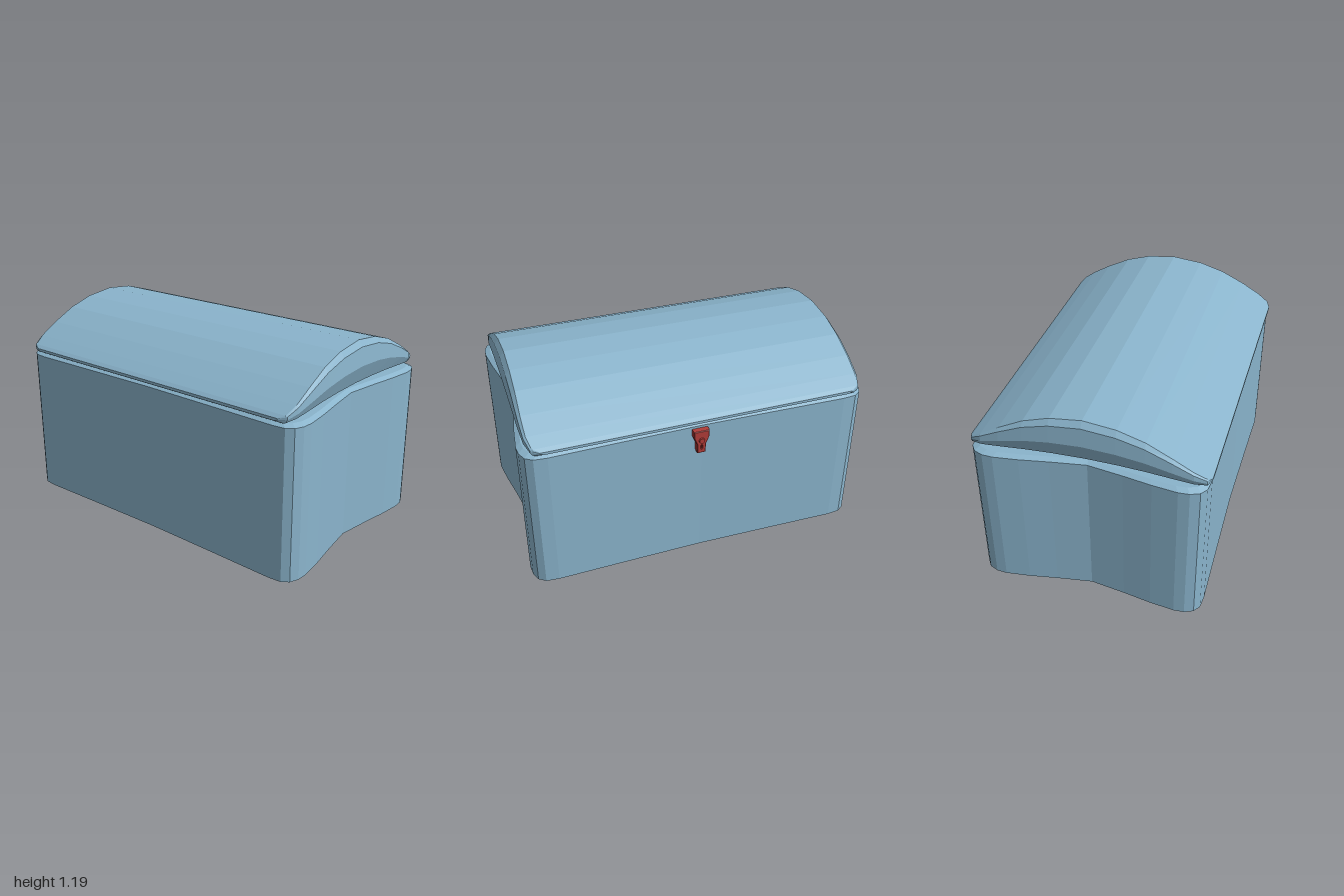
import * as THREE from 'three';

const blue = new THREE.MeshStandardMaterial({ color: 0x8ab4cc, flatShading: true });
const red = new THREE.MeshStandardMaterial({ color: 0xb03c38, flatShading: true });

// Closed solid skinned over equal-length loops of [x, y, z], capped at both ends
function loft(loops) {
  const n = loops[0].length;
  const pts = loops.flat();
  const faces = [];
  for (let r = 0; r < loops.length - 1; r++) {
    for (let i = 0; i < n; i++) {
      const j = (i + 1) % n;
      const a = r * n + i, b = r * n + j;
      faces.push([a, b, b + n], [a, b + n, a + n]);
    }
  }
  const cap = (r, flip) => {
    const centre = [0, 1, 2].map((k) => loops[r].reduce((s, p) => s + p[k], 0) / n);
    const c = pts.push(centre) - 1;
    for (let i = 0; i < n; i++) {
      const a = r * n + i, b = r * n + ((i + 1) % n);
      faces.push(flip ? [c, b, a] : [c, a, b]);
    }
  };
  cap(0, true);
  cap(loops.length - 1, false);

  // Turn every face outward if the loops run the other way
  const v = pts.map((p) => new THREE.Vector3(...p));
  const volume = faces.reduce((s, [a, b, c]) => s + v[a].dot(v[b].clone().cross(v[c])), 0);
  if (volume < 0) faces.forEach((f) => f.reverse());

  const g = new THREE.BufferGeometry();
  g.setAttribute('position', new THREE.Float32BufferAttribute(pts.flat(), 3));
  g.setIndex(faces.flat());
  const flat = g.toNonIndexed();
  flat.computeVertexNormals();
  return flat;
}

// Box: rounded corners, sides bowed gently inward, bevelled rims
function bodyGeometry() {
  const quarter = [[0.925, 0], [0.955, 0.2], [0.983, 0.36], [1, 0.5], [0.996, 0.56],
    [0.975, 0.61], [0.935, 0.638], [0.86, 0.645], [0.45, 0.637], [0, 0.63]];
  const half = [...quarter, ...quarter.slice(0, -1).reverse().map(([x, z]) => [-x, z])];
  const plan = [...half, ...half.slice(1, -1).reverse().map(([x, z]) => [x, -z])];
  const rims = [[0, 0.03], [0.016, 0], [0.89, 0], [0.905, 0.03]];
  return loft(rims.map(([y, inset]) =>
    plan.map(([x, z]) => [x * (1 - inset), y, z * (1 - inset * 1.2) + 0.01])));
}

// Domed lid: cross-sections from front to back, with bulging ends undercut below
function lidGeometry() {
  // z, bottom y, top y, half width
  const front = [[0.665, 0.922, 0.938, 0.9], [0.645, 0.911, 0.955, 0.945], [0.58, 0.911, 0.995, 0.967],
    [0.47, 0.911, 1.057, 0.975], [0.33, 0.911, 1.125, 0.978], [0.18, 0.911, 1.17, 0.98]];
  const stations = [...front, [0, 0.911, 1.19, 0.98],
    ...front.slice().reverse().map(([z, ...rest]) => [-z * 0.97, ...rest])];
  return loft(stations.map(([z, low, top, w]) => {
    const q = Math.max(0, 1 - (z / 0.66) ** 2);
    const edge = low + 0.006 + 0.028 * q;
    const at = (f) => edge + (top - edge) * f;
    const side = [
      [w - 0.02 - 0.085 * q, low],
      [w - 0.005 - 0.035 * q, edge],
      [w, at(0.43)],
      [w - 0.01 * q, at(0.86)],
      [w - 0.008 - 0.027 * q, top],
    ];
    return [...side, ...side.slice().reverse().map(([x, y]) => [-x, y])].map(([x, y]) => [x, y, z]);
  }));
}

// Latch: broad plate tapering to a slotted tongue
function latch() {
  const group = new THREE.Group();
  group.name = 'latch';
  const half = [[0.02, 0.735], [0.022, 0.79], [0.041, 0.835], [0.041, 0.872]];
  const plate = new THREE.Shape([...half, ...half.slice().reverse().map(([x, y]) => [-x, y])]
    .map(([x, y]) => new THREE.Vector2(x, y)));
  const slot = new THREE.Path();
  slot.absellipse(0, 0.77, 0.008, 0.018, 0, Math.PI * 2, true);
  plate.holes.push(slot);
  const plateMesh = new THREE.Mesh(new THREE.ExtrudeGeometry(plate, {
    depth: 0.04, bevelEnabled: true, bevelSize: 0.004, bevelThickness: 0.004, bevelSegments: 1, curveSegments: 4,
  }), red);
  plateMesh.name = 'latchPlate';
  plateMesh.position.z = -0.652;
  const boss = new THREE.Mesh(new THREE.CylinderGeometry(0.016, 0.02, 0.016, 10), red);
  boss.name = 'latchBoss';
  boss.rotation.x = -Math.PI / 2;
  boss.position.set(0, 0.815, -0.656);
  group.add(plateMesh, boss);
  group.position.x = 0.015;
  return group;
}

export function createModel() {
  const model = new THREE.Group();
  model.name = 'chest';
  const body = new THREE.Mesh(bodyGeometry(), blue);
  body.name = 'body';
  const lid = new THREE.Mesh(lidGeometry(), blue);
  lid.name = 'lid';
  model.add(body, lid, latch());
  return model;
}
